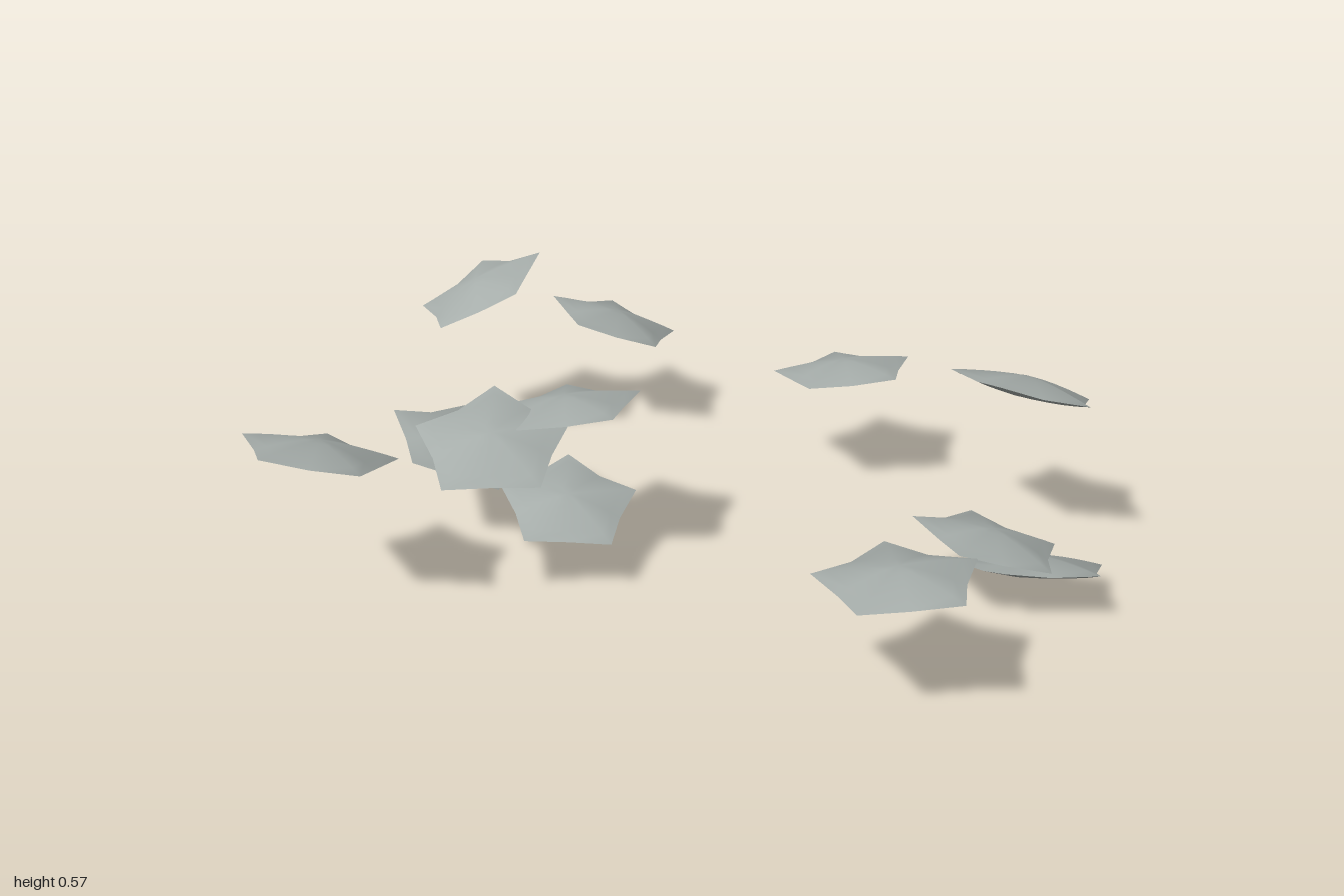
import * as THREE from 'three';
import { mergeVertices } from 'three/addons/utils/BufferGeometryUtils.js';

const CORNER = 0.195; // radius at the five corners
const NOTCH = 0.147;  // radius at the middle of each slightly hollow side
const SAG = 0.008;    // how far the rim drops between two corners

// Five-cornered skin, corners level at y = 0, its centre raised (or sunk) by height
function skinGeometry(height, power) {
  const phase = THREE.MathUtils.degToRad(25.5);
  const geo = new THREE.RingGeometry(0, 1, 10, 5, -phase);
  geo.rotateX(-Math.PI / 2);
  const p = geo.attributes.position;
  for (let i = 0; i < p.count; i++) {
    const notch = (i % 11) % 2 === 1; // even columns run to a corner, odd ones to a notch
    const rim = notch ? NOTCH : CORNER;
    const x = p.getX(i), z = p.getZ(i);
    const r = Math.hypot(x, z);
    const sag = notch ? SAG * r * r : 0;
    p.setXYZ(i, x * rim, height * (1 - Math.pow(r, power)) - sag, z * rim);
  }
  geo.deleteAttribute('uv');
  geo.deleteAttribute('normal');
  const welded = mergeVertices(geo, 1e-5);
  welded.computeVertexNormals();
  return welded;
}

// Each petal: centre x, y, z, then slope along x and along z
const petals = [
  [0.17, 0.49, -0.84, 0.36, 0.295],
  [0.525, 0.337, -0.665, -0.31, -0.145],
  [-0.20, 0.255, -0.51, -0.225, -0.34],
  [-0.705, 0.455, -0.41, -0.32, 0.045],
  [0.03, 0.05, -0.35, 0.11, -0.235],
  [-0.375, 0.447, -0.17, 0.22, -0.22],
  [-0.147, 0.464, -0.158, -0.04, 0.19],
  [0.703, 0.345, 0.04, -0.055, 0.195],
  [-0.072, 0.35, 0.806, -0.02, 0.13],
  [0.455, 0.182, 0.70, -0.27, -0.06],
  [0.726, 0.464, 0.595, -0.395, 0.05],
  [0.533, 0.108, 0.788, -0.335, 0.28],
];

export function createModel() {
  const group = new THREE.Group();
  group.name = 'scatteredPetals';
  const petalGrey = new THREE.MeshStandardMaterial({ color: 0xa6adaa, side: THREE.DoubleSide });
  petalGrey.name = 'petalGrey';
  const skins = { petalTop: skinGeometry(0.03, 1.5), petalUnderside: skinGeometry(-0.023, 2) };
  const up = new THREE.Vector3(0, 1, 0);

  // Drifting petals, each tipped to its own slope
  petals.forEach(([x, y, z, slopeX, slopeZ], i) => {
    const petal = new THREE.Group();
    petal.name = `petal${i + 1}`;
    for (const [name, geo] of Object.entries(skins)) {
      const skin = new THREE.Mesh(geo, petalGrey);
      skin.name = name;
      petal.add(skin);
    }
    petal.position.set(x, y, z);
    petal.quaternion.setFromUnitVectors(up, new THREE.Vector3(-slopeX, 1, -slopeZ).normalize());
    group.add(petal);
  });
  return group;
}
